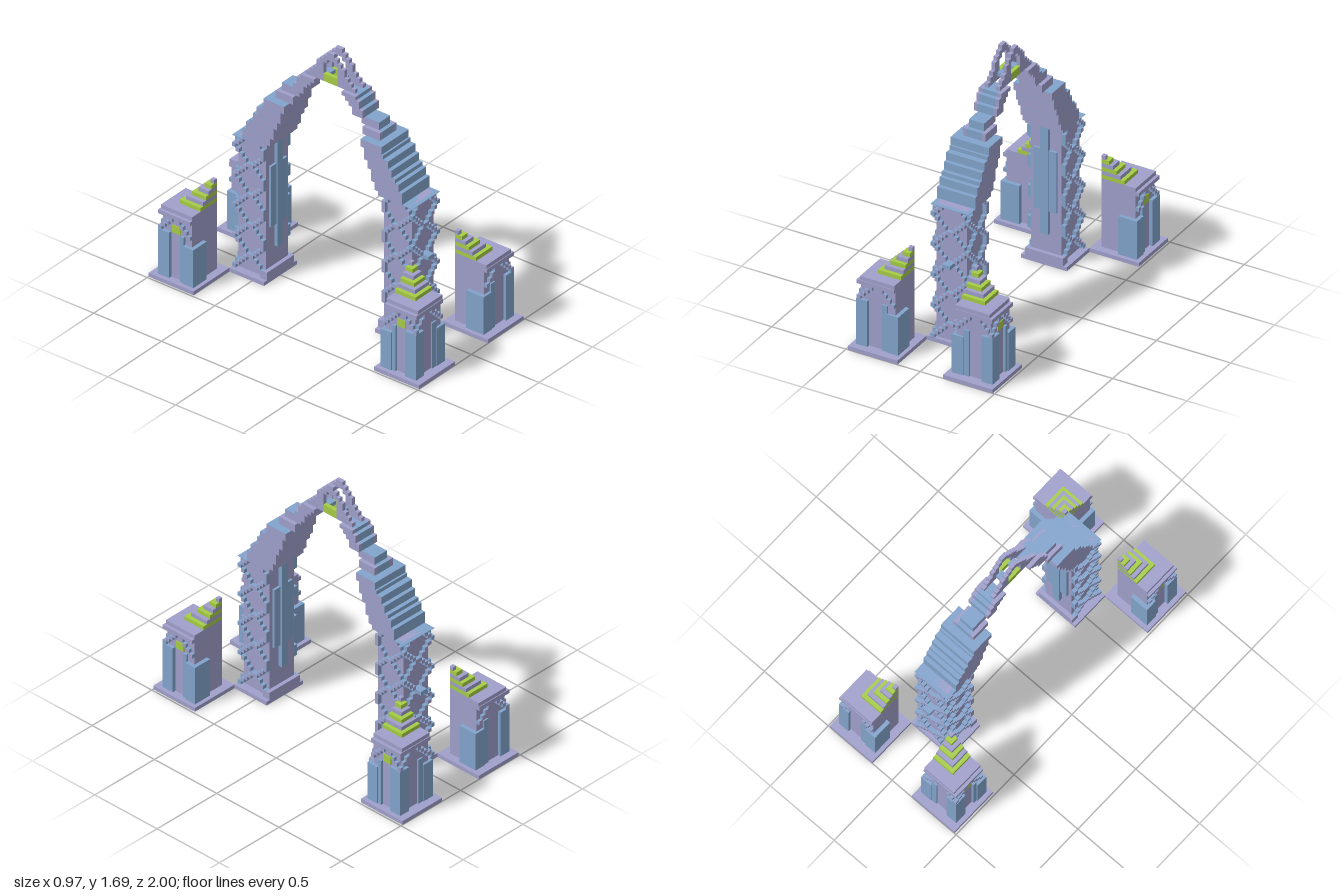
import * as THREE from 'three';
import { mergeGeometries } from 'three/addons/utils/BufferGeometryUtils.js';

const U = 1 / 39; // one block

export function createModel() {
  const mat = (name, color) => {
    const m = new THREE.MeshStandardMaterial({ color });
    m.name = name;
    return m;
  };
  const lilac = mat('lilac', 0x9f9fcb);
  const blue = mat('blue', 0x82a4cc);
  const lime = mat('lime', 0xa6cc45);

  // Collects boxes (in blocks) by part name and merges each part into one mesh
  const parts = new Map();
  const box = (name, m, x0, x1, y0, y1, z0, z1) => {
    const g = new THREE.BoxGeometry(Math.abs(x1 - x0) * U, (y1 - y0) * U, (z1 - z0) * U);
    g.translate((x0 + x1) / 2 * U, (y0 + y1) / 2 * U, (z0 + z1) / 2 * U);
    if (!parts.has(name)) parts.set(name, { m, list: [] });
    parts.get(name).list.push(g);
  };
  // The same box on both sides of x = 0
  const pair = (name, m, x0, x1, ...rest) => {
    box(name, m, x0, x1, ...rest);
    box(name, m, -x1, -x0, ...rest);
  };

  // Tower shaft
  box('towerPlate', lilac, -6, 6, 0, 1, 16, 26);
  box('towerShaft', lilac, -4, 4, 1, 36, 17, 25);
  box('innerStrips', blue, -1, 1, 8, 36, 16, 17);
  pair('innerStrips', blue, 1, 3, 14, 30, 16.4, 17);
  box('innerFoot', lilac, -5, 5, 1, 3, 16, 17);
  box('outerKnob', blue, -1, 1, 21, 22, 26, 27.5);

  // Crossing lattice on three sides: blue blocks with lilac faces
  for (let y = 1; y < 36; y++) {
    const t = Math.abs(((y + 3) % 8) - 4); // 0 at the edges, 4 at a crossing
    const d = 4 - t;
    for (const s of [-1, 1]) {
      const a = Math.max(-4.5, Math.min(4.5, s * (d + 0.5)));
      box('lattice', blue, a - 0.5, a + 0.5, y, y + 1, 25, 25.95);
      box('latticeFaces', lilac, a - 0.5, a + 0.5, y, y + 1, 25.95, 26);
      const z = Math.max(17.5, Math.min(25.5, 21 + a));
      pair('lattice', blue, 4, 4.95, y, y + 1, z - 0.5, z + 0.5);
      pair('latticeFaces', lilac, 4.95, 5, y, y + 1, z - 0.5, z + 0.5);
    }
  }

  // Stepped arch: bottom, top, inner z, outer z, half width
  const steps = [
    [36, 37, 16, 23, 5], [37, 39, 15, 23, 5], [39, 41, 14, 22, 5], [41, 42, 14, 21, 5],
    [42, 44, 13, 20, 5], [44, 46, 12, 19, 5], [46, 47, 12, 17.5, 5], [47, 49, 11, 17, 5],
    [49, 51, 10, 15, 3], [51, 53, 9, 14, 2], [53, 55, 7, 10, 3], [55, 56, 6, 9, 3],
    [56, 57, 5, 9, 3], [57, 58, 4, 8, 3],
  ];
  for (const [y0, y1, z0, z1, w] of steps) {
    const b = w === 5 ? 5 : 2; // half width of the blue cladding
    box('archSteps', lilac, -w, w, y0, y1 - 0.1, z0, z1 - 0.1);
    box('archCladding', blue, -b, b, y0, y1, z1 - 0.1, z1);
    box('archCladding', blue, -b, b, y1 - 0.1, y1, z0, z1 - 0.1);
    if (b < w) {
      pair('archSteps', lilac, b, w, y0, y1, z1 - 0.1, z1);
      pair('archSteps', lilac, b, w, y1 - 0.1, y1, z0, z1 - 0.1);
    }
  }
  // Cap on the shaft where the first step is set back
  box('archCladding', blue, -5, 5, 35.9, 36, 16, 26);

  // Twin ribs at the crown
  const ribs = [[58, 2, 7], [59, 2, 6], [60, 2, 5], [61, 2, 4], [62, 2, 4], [63, 1, 3], [64, 0, 2], [65, 0, 1]];
  for (const [y, z0, z1] of ribs) pair('crownRibs', lilac, 1, 2, y, y + 1, z0, z1);
  box('crownBar', blue, -1, 1, 59, 60, 1, 3);
  pair('crownLamp', lime, 1, 2, 58, 60, 0, 2);

  // Corner buildings
  for (const s of [-1, 1]) {
    const b = (name, m, x0, x1, ...rest) => box(name, m, s * x0, s * x1, ...rest);
    b('buildingPlate', lilac, 6, 19, 0, 1, 26, 39);
    b('buildingCore', lilac, 8, 17, 1, 18, 28, 36.4);

    // Pilasters
    b('pilasters', blue, 7, 10, 1, 11, 32, 37);
    b('pilasters', blue, 10, 11.5, 1, 13, 36, 36.8);
    b('pilasters', blue, 15, 17.9, 1, 13, 34, 37.2);
    b('pilasters', blue, 13, 17.9, 1, 11, 27, 30);
    b('pilasters', blue, 16, 17.6, 1, 13, 30, 31);

    // Cornice and stepped brackets on the two outer walls
    b('cornice', lilac, 8, 17.8, 17, 18, 28, 37.2);
    for (let i = 0; i < 4; i++) {
      for (const e of [8 + i, 16.8 - i]) {
        b('brackets', blue, e, e + 1, 13 + i, 14 + i, 36.4, 37.1);
        b('bracketFaces', lilac, e, e + 1, 13 + i, 14 + i, 37.1, 37.2);
      }
      for (const e of [28 + i, 36.2 - i]) {
        b('brackets', blue, 17, 17.7, 13 + i, 14 + i, e, e + 1);
        b('bracketFaces', lilac, 17.7, 17.8, 13 + i, 14 + i, e, e + 1);
      }
    }
    b('sideWindow', lime, 17, 17.2, 13, 15, 31.2, 33.6);

    // Quarter pyramid roof with alternating colours
    [9, 6, 5, 4, 3, 2, 1].forEach((n, i) => {
      const green = i % 2 === 1;
      b(green ? 'roofGreen' : 'roofLilac', green ? lime : lilac, 8, 8 + n, 18 + i, 19 + i, 28, 28 + n);
    });
  }

  // One half, then the same half turned to the back
  const half = new THREE.Group();
  half.name = 'frontHalf';
  for (const [name, { m, list }] of parts) {
    const mesh = new THREE.Mesh(mergeGeometries(list), m);
    mesh.name = name;
    half.add(mesh);
  }
  const back = half.clone();
  back.name = 'backHalf';
  back.rotation.y = Math.PI;

  const model = new THREE.Group();
  model.name = 'archMonument';
  model.add(half, back);
  return model;
}
